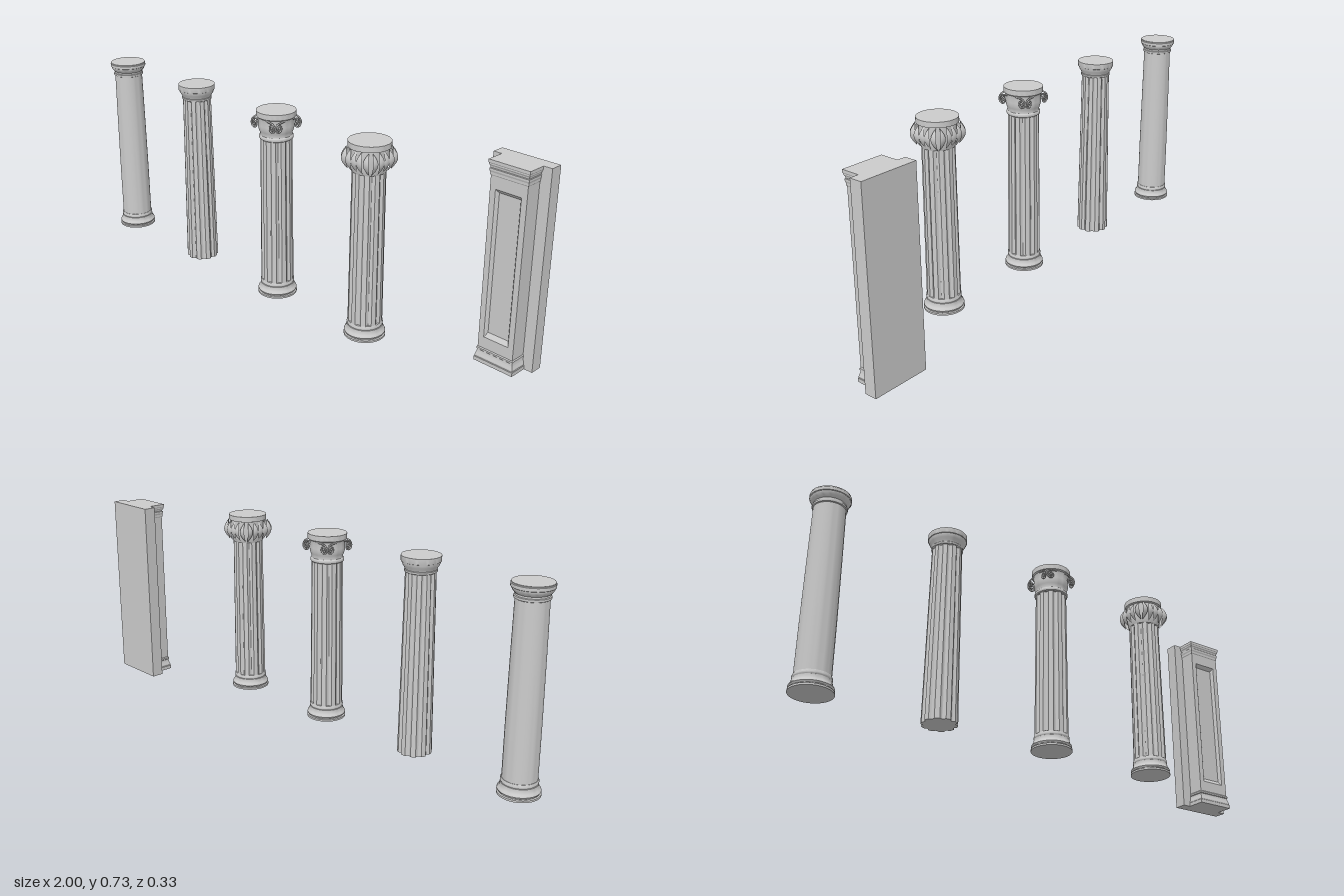
import * as THREE from 'three';
import { toCreasedNormals } from 'three/addons/utils/BufferGeometryUtils.js';

const H = 0.727, COLUMN_Z = 0.086;
const stone = new THREE.MeshStandardMaterial({ color: 0xcccccc });
const thinStone = new THREE.MeshStandardMaterial({ color: 0xcccccc, side: THREE.DoubleSide });

function add(parent, name, geometry, material = stone) {
  const mesh = new THREE.Mesh(geometry, material);
  mesh.name = name;
  parent.add(mesh);
  return mesh;
}

// Turned part from [radius, y] pairs, closed on the axis
function turned(profile) {
  const pts = [[0, profile[0][1]], ...profile, [0, profile[profile.length - 1][1]]];
  return toCreasedNormals(new THREE.LatheGeometry(pts.map(p => new THREE.Vector2(...p)), 48), 0.6);
}

// Tapered shaft with concave flutes separated by flat fillets
function flutedShaft(y0, y1, r0, r1, flutes = 10) {
  const shape = new THREE.Shape();
  const step = Math.PI * 2 / flutes, n = 8;
  for (let f = 0; f < flutes; f++) {
    for (let i = 0; i <= n; i++) {
      const a = (f - 0.27 + 0.54 * i / n) * step;
      const r = 1 - 0.13 * Math.sin(Math.PI * i / n);
      const x = r * Math.cos(a), y = r * Math.sin(a);
      if (f + i === 0) shape.moveTo(x, y); else shape.lineTo(x, y);
    }
    const mid = (f + 0.5) * step;
    shape.lineTo(Math.cos(mid), Math.sin(mid));
  }
  const g = new THREE.ExtrudeGeometry(shape, { depth: 1, bevelEnabled: false });
  g.rotateX(-Math.PI / 2);
  const p = g.attributes.position;
  for (let i = 0; i < p.count; i++) {
    const t = p.getY(i), r = r0 + (r1 - r0) * t;
    p.setXYZ(i, p.getX(i) * r, y0 + (y1 - y0) * t, p.getZ(i) * r);
  }
  return toCreasedNormals(g, 0.5);
}

// Straight-sided skin through rings of four corners
function loft(rings) {
  const v = [];
  for (let r = 0; r + 1 < rings.length; r++) {
    for (let i = 0; i < 4; i++) {
      const j = (i + 1) % 4;
      const a = rings[r][i], b = rings[r][j], c = rings[r + 1][j], d = rings[r + 1][i];
      v.push(...a, ...b, ...c, ...a, ...c, ...d);
    }
  }
  const g = new THREE.BufferGeometry();
  g.setAttribute('position', new THREE.Float32BufferAttribute(v, 3));
  g.computeVertexNormals();
  return g;
}

const BASE = [[0.074, 0], [0.074, 0.007], [0.069, 0.009], [0.069, 0.011], [0.0715, 0.013], [0.073, 0.017],
  [0.0715, 0.021], [0.068, 0.025], [0.065, 0.032], [0.0635, 0.042], [0.0615, 0.043], [0.0635, 0.046],
  [0.064, 0.05], [0.063, 0.055], [0.0615, 0.058]];

function column(name, x) {
  const g = new THREE.Group();
  g.name = name;
  g.position.set(x, 0, COLUMN_Z);
  return g;
}

function plainColumn(x) {
  const g = column('plainColumn', x);
  add(g, 'base', turned(BASE));
  add(g, 'shaft', turned([[0.06, 0.055], [0.0595, 0.25], [0.0575, 0.48], [0.055, 0.69]]));
  add(g, 'capital', turned([[0.055, 0.672], [0.059, 0.674], [0.06, 0.678], [0.059, 0.682], [0.056, 0.684],
    [0.056, 0.69], [0.059, 0.692], [0.064, 0.698], [0.068, 0.706], [0.068, 0.709], [0.071, 0.711],
    [0.071, 0.722], [0.069, 0.724], [0.069, H]]));
  return g;
}

function baselessColumn(x) {
  const g = column('baselessFlutedColumn', x);
  add(g, 'shaft', flutedShaft(0, 0.675, 0.0625, 0.054));
  add(g, 'capital', turned([[0.054, 0.668], [0.057, 0.67], [0.057, 0.677], [0.0555, 0.679], [0.058, 0.685],
    [0.063, 0.693], [0.067, 0.702], [0.068, 0.706], [0.07, 0.707], [0.07, H]]));
  return g;
}

function scrollColumn(x) {
  const g = column('scrollColumn', x);
  add(g, 'base', turned(BASE));
  add(g, 'shaft', flutedShaft(0.057, 0.625, 0.0615, 0.058));
  add(g, 'capital', turned([[0.058, 0.62], [0.062, 0.623], [0.063, 0.628], [0.062, 0.633], [0.059, 0.636],
    [0.059, 0.645], [0.062, 0.652], [0.065, 0.662], [0.066, 0.675], [0.065, 0.69], [0.068, 0.703],
    [0.073, 0.707], [0.073, H]]));
  // A pair of spirals on each of the four faces
  for (let face = 0; face < 4; face++) {
    const pair = new THREE.Group();
    pair.name = 'scrollPair';
    pair.rotation.y = face * Math.PI / 2;
    for (const s of [-1, 1]) {
      const pts = [new THREE.Vector3(s * 0.018, 0.702, 0.066)];
      for (let i = 0; i <= 24; i++) {
        const t = i / 24, a = Math.PI / 2 - t * Math.PI * 3.5, r = 0.018 - 0.015 * t;
        pts.push(new THREE.Vector3(s * (0.046 + r * Math.cos(a)), 0.679 + r * Math.sin(a), 0.064));
      }
      add(pair, 'scroll', new THREE.TubeGeometry(new THREE.CatmullRomCurve3(pts), 56, 0.0032, 6));
    }
    g.add(pair);
  }
  return g;
}

// Pointed leaf bowing outward, its ends resting near the bell
function leafGeometry() {
  const g = new THREE.PlaneGeometry(1, 1, 4, 14);
  const p = g.attributes.position;
  for (let i = 0; i < p.count; i++) {
    const u = p.getX(i) * 2, t = p.getY(i) + 0.5, bow = Math.sin(Math.PI * t);
    p.setXYZ(i, u * 0.0125 * bow, 0.626 + 0.08 * t, 0.059 + 0.005 * t + 0.0185 * bow - 0.002 * u * u * bow);
  }
  g.computeVertexNormals();
  return g;
}

function leafColumn(x) {
  const g = column('leafColumn', x);
  add(g, 'base', turned(BASE));
  add(g, 'shaft', flutedShaft(0.057, 0.625, 0.0615, 0.058));
  add(g, 'capital', turned([[0.0585, 0.62], [0.061, 0.626], [0.063, 0.64], [0.0655, 0.66], [0.0665, 0.68],
    [0.066, 0.705], [0.074, 0.707], [0.074, H]]));
  const leaf = leafGeometry();
  for (let face = 0; face < 4; face++) {
    const row = new THREE.Group();
    row.name = 'leafRow';
    row.rotation.y = face * Math.PI / 2;
    for (let i = -2; i <= 2; i++) {
      add(row, 'leaf', leaf, thinStone).position.set(i * 0.0245, 0, Math.abs(i) === 2 ? -0.006 : 0);
    }
    g.add(row);
  }
  return g;
}

function pilaster(x) {
  const g = new THREE.Group();
  g.name = 'pilaster';
  g.position.x = x;
  const back = -0.118, front = -0.056, hw = 0.07;
  const slab = add(g, 'backSlab', new THREE.BoxGeometry(0.22, H, 0.047));
  slab.position.set(0, H / 2, -0.1415);

  // Shaft with a sunk panel in its front
  const rect = (w, y0, y1, Type) => new Type([[-w, y0], [w, y0], [w, y1], [-w, y1]].map(p => new THREE.Vector2(...p)));
  const shape = rect(hw, 0.04, 0.69, THREE.Shape);
  shape.holes.push(rect(0.049, 0.096, 0.63, THREE.Path));
  const shaft = add(g, 'shaft', new THREE.ExtrudeGeometry(shape, { depth: front - back, bevelEnabled: false }));
  shaft.position.z = back;
  const ring = (w, y0, y1, z) => [[w, y0, z], [w, y1, z], [-w, y1, z], [-w, y0, z]];
  add(g, 'panelBevel', loft([ring(0.049, 0.096, 0.63, front), ring(0.046, 0.1, 0.626, front - 0.003),
    ring(0.041, 0.112, 0.617, front - 0.012)]));
  add(g, 'panel', new THREE.PlaneGeometry(0.082, 0.505)).position.set(0, 0.3645, front - 0.012);

  // Mouldings wrap the front and both sides: [overhang, y]
  const moulding = (name, profile) => {
    const rings = profile.map(([o, y]) =>
      [[hw + o, y, front + o], [hw + o, y, back], [-hw - o, y, back], [-hw - o, y, front + o]]);
    const first = rings[0], last = rings[rings.length - 1];
    const closed = r => r.map(p => [0, p[1], -0.09]);
    add(g, name, loft([closed(first), ...rings, closed(last)]));
  };
  moulding('base', [[0.008, 0], [0.008, 0.014], [0.006, 0.016], [0.006, 0.021], [0.004, 0.027], [0.002, 0.034],
    [0.001, 0.042], [0.003, 0.044], [0.003, 0.05], [0, 0.054]]);
  moulding('capital', [[0, 0.673], [0.002, 0.676], [0.002, 0.684], [0.004, 0.69], [0.004, 0.697], [0.002, 0.699],
    [0.003, 0.705], [0.006, 0.71], [0.006, 0.714], [0.008, 0.717], [0.008, H]]);
  return g;
}

export function createModel() {
  const model = new THREE.Group();
  model.name = 'columnSet';
  model.add(plainColumn(-0.926), baselessColumn(-0.473), scrollColumn(-0.02), leafColumn(0.433), pilaster(0.89));
  return model;
}
